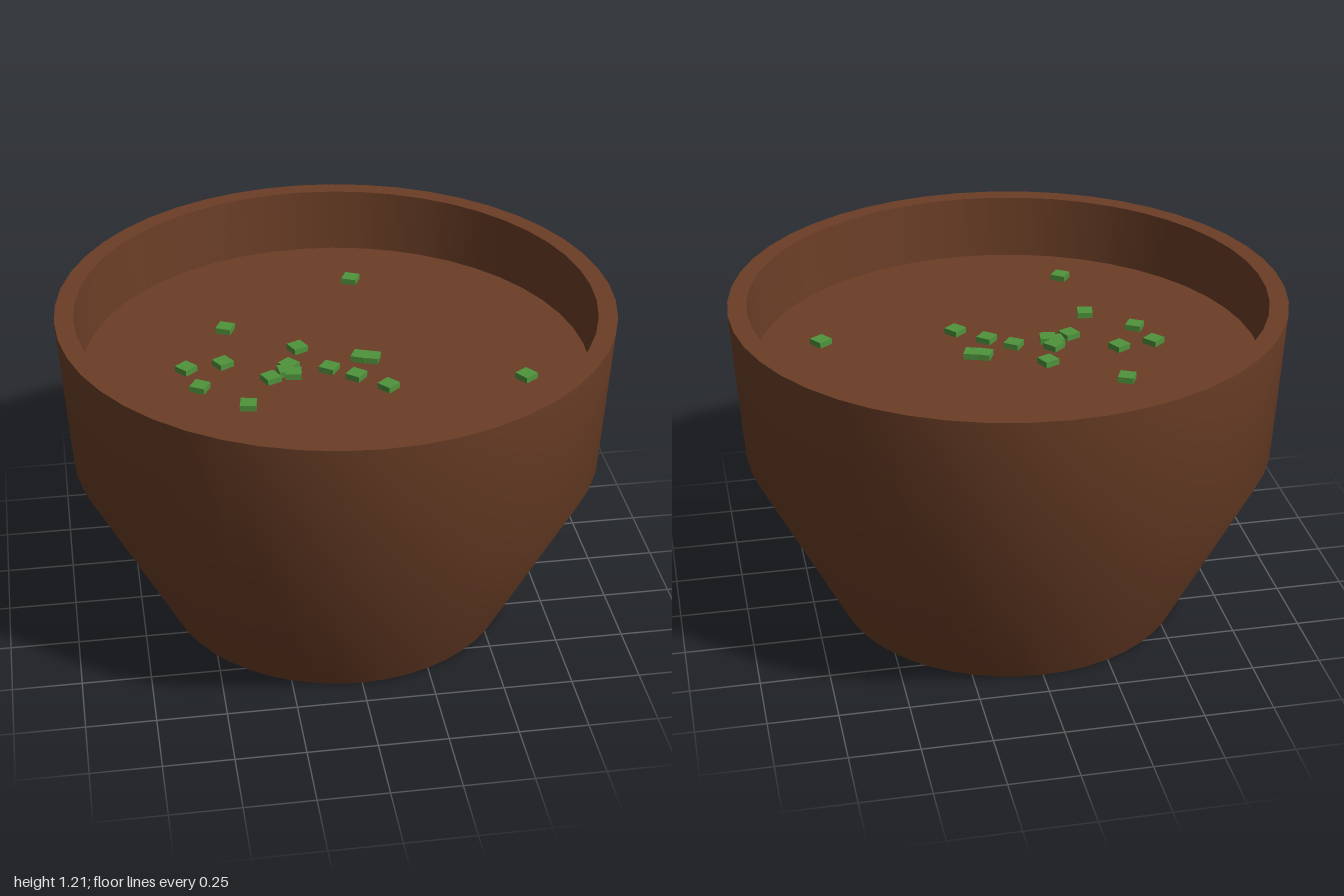
import * as THREE from 'three';

const SEG = 48;
const RIM_Y = 1.21, SOUP_Y = 0.97, CHIP = 0.057;

export function createModel() {
  const group = new THREE.Group();
  const brown = new THREE.MeshStandardMaterial({ name: 'bowlBrown', color: 0x6b3e26 });
  const green = new THREE.MeshStandardMaterial({ name: 'herbGreen', color: 0x4f933c });

  const add = (name, geometry, material, parent = group) => {
    const mesh = new THREE.Mesh(geometry, material);
    mesh.name = name;
    parent.add(mesh);
    return mesh;
  };
  const lathe = (points) =>
    new THREE.LatheGeometry(points.map(([r, y]) => new THREE.Vector2(r, y)), SEG);

  // Bowl: separate surfaces keep the rim and base edges crisp
  const bowl = new THREE.Group();
  bowl.name = 'bowl';
  group.add(bowl);
  add('outerWall', lathe([[0.645, 0], [0.967, 0.645], [1, RIM_Y]]), brown, bowl);
  add('rim', lathe([[1, RIM_Y], [0.932, RIM_Y]]), brown, bowl);
  add('innerWall', lathe([[0.932, RIM_Y], [0.92, SOUP_Y]]), brown, bowl);
  add('base', new THREE.CircleGeometry(0.645, SEG).rotateX(Math.PI / 2), brown, bowl);

  // Broth surface
  const broth = add('broth', new THREE.CircleGeometry(0.92, SEG).rotateX(-Math.PI / 2), brown);
  broth.position.y = SOUP_Y;

  // Floating herb pieces: x, z, turn in degrees
  const herbs = new THREE.Group();
  herbs.name = 'herbs';
  group.add(herbs);
  const chip = new THREE.BoxGeometry(CHIP, 0.022, CHIP);
  [
    [0.148, -0.615, -25], [-0.373, -0.288, -25], [-0.127, -0.104, 25],
    [-0.543, -0.009, 40], [-0.408, -0.03, 30], [-0.506, 0.129, -30],
    [-0.25, 0.102, 25], [-0.175, 0.02, 40], [-0.19, 0.06, 5],
    [-0.165, 0.083, -8], [-0.033, 0.06, -35], [0.055, 0.126, -40],
    [0.09, -0.006, -25], [0.13, 0.008, -20], [0.157, 0.216, 40],
    [0.656, 0.219, 35], [-0.35, 0.277, -10], [-0.333, 0.632, -35],
  ].forEach(([x, z, turn]) => {
    const herb = add('herbPiece', chip, green, herbs);
    herb.position.set(x, SOUP_Y + 0.011, z);
    herb.rotation.y = THREE.MathUtils.degToRad(turn);
  });

  return group;
}
